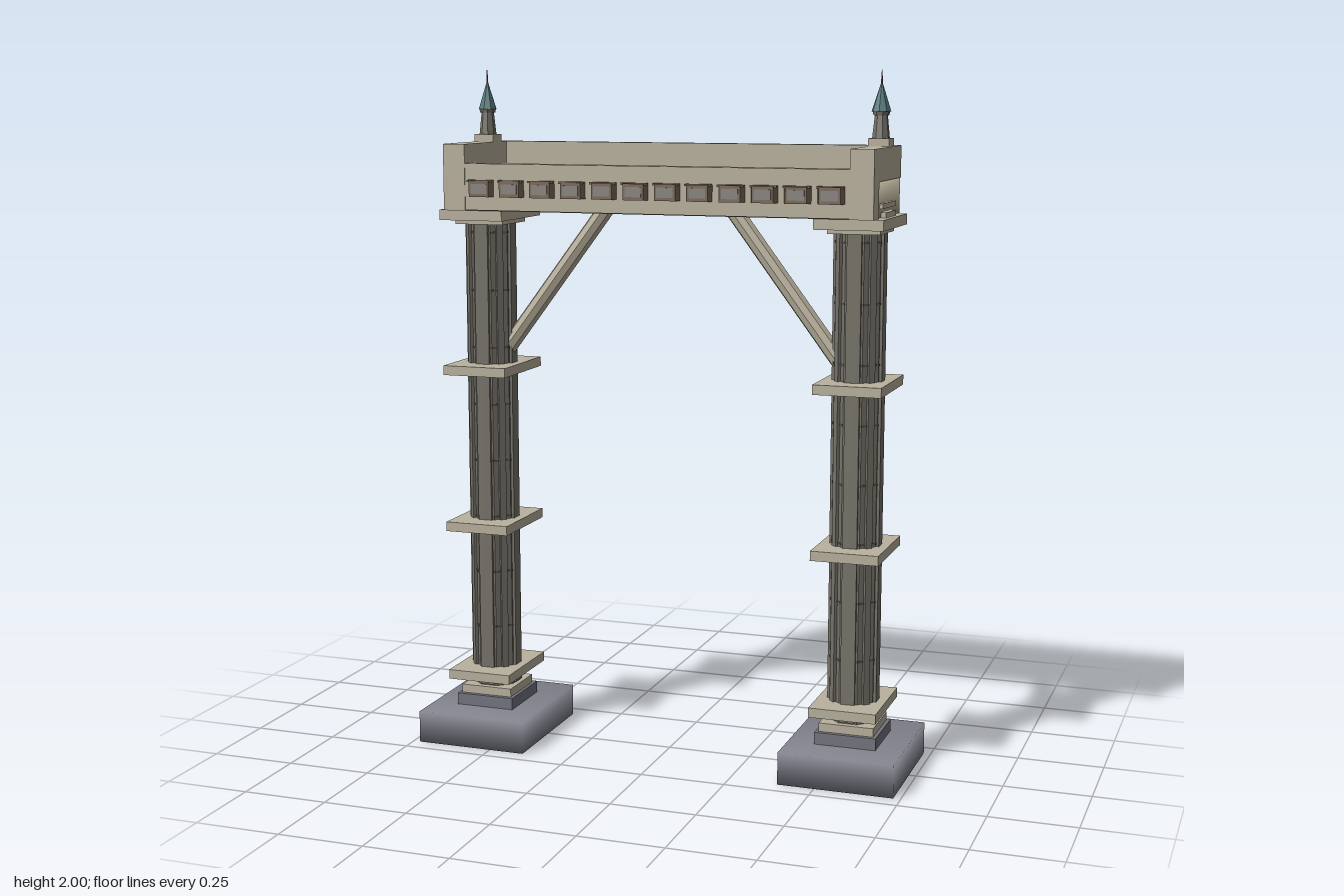
import * as THREE from 'three';
import { mergeVertices } from 'three/addons/utils/BufferGeometryUtils.js';

const mat = (color, flat = true) => new THREE.MeshStandardMaterial({ color, flatShading: flat });
const STONE = mat(0xbab29e), SHAFT = mat(0x77736a), JOINT = mat(0x57534b), PIPE = mat(0x4a3a2c);
const FRAME = mat(0x7d6a5b), PANE = mat(0x8a8580), ROOF = mat(0x527476), SPIKE = mat(0x8a4a42);
const PLINTH = mat(0x74757f), BASE = mat(0x84858f, false), SOFT_STONE = mat(0xaaa28e, false), WATER = mat(0x9ccad0, false);

function add(parent, name, geometry, material, x = 0, y = 0, z = 0) {
  const mesh = new THREE.Mesh(geometry, material);
  mesh.name = name;
  mesh.position.set(x, y, z);
  parent.add(mesh);
  return mesh;
}

// Box given by its extents on each axis
function slab(parent, name, material, [x0, x1], [y0, y1], [z0, z1], soft = false) {
  let g = new THREE.BoxGeometry(x1 - x0, y1 - y0, z1 - z0);
  if (soft) {
    g.deleteAttribute('normal');
    g.deleteAttribute('uv');
    g = mergeVertices(g);
    g.computeVertexNormals();
  }
  return add(parent, name, g, material, (x0 + x1) / 2, (y0 + y1) / 2, (z0 + z1) / 2);
}

const octagon = (r0, r1, h) => new THREE.CylinderGeometry(r0, r1, h, 8).rotateY(Math.PI / 8);

// Tower, built around x = 0; side is +1 or -1
function makeTower(side) {
  const tower = new THREE.Group();
  tower.name = side > 0 ? 'leftTower' : 'rightTower';
  slab(tower, 'footing', BASE, [-0.168, 0.168], [0, 0.095], [-0.2, 0.2], true);
  slab(tower, 'plinth', PLINTH, [-0.09, 0.09], [0.095, 0.13], [-0.095, 0.095]);
  slab(tower, 'plinthStep', STONE, [-0.08, 0.08], [0.13, 0.155], [-0.082, 0.082]);

  // Octagonal shaft with raised strips on its faces and corners
  add(tower, 'shaft', octagon(0.069, 0.069, 1.43), SHAFT, 0, 0.865, 0);
  for (let i = 0; i < 4; i++) {
    const a = i * Math.PI / 2;
    const strip = add(tower, 'faceStrip', new THREE.BoxGeometry(0.042, 1.41, 0.016), SHAFT, Math.sin(a) * 0.064, 0.865, Math.cos(a) * 0.064);
    strip.rotation.y = a;
    const b = a + Math.PI / 4;
    const rib = add(tower, 'cornerRib', new THREE.BoxGeometry(0.02, 1.41, 0.014), SHAFT, Math.sin(b) * 0.066, 0.865, Math.cos(b) * 0.066);
    rib.rotation.y = b;
  }
  // Course joints
  for (let y = 0.34; y < 1.55; y += 0.17) add(tower, 'courseJoint', octagon(0.071, 0.071, 0.006), JOINT, 0, y, 0);

  // Square collars and capital
  for (const y of [0.2, 0.657, 1.128])
    slab(tower, 'collar', STONE, [-0.098, 0.098], [y - 0.014, y + 0.014], [-0.135, 0.135]);
  slab(tower, 'capital', STONE, [-0.098, 0.098], [1.57, 1.6], [-0.142, 0.142]);
  slab(tower, 'underCapital', STONE, [-0.075, 0.075], [1.555, 1.57], [-0.082, 0.082]);
  slab(tower, 'bearing', STONE, [-0.085, 0.085], [1.6, 1.615], [-0.06, 0.06]);

  // Drain pipe behind the shaft
  add(tower, 'drainPipe', new THREE.CylinderGeometry(0.008, 0.008, 1.38, 8), PIPE, 0, 0.88, -0.094);
  for (let i = 0; i < 9; i++)
    add(tower, 'pipeCoupling', new THREE.CylinderGeometry(0.011, 0.011, 0.03, 8), PIPE, 0, 0.28 + i * 0.15, -0.094);
  tower.position.x = side * 0.561;
  return tower;
}

// Small pinnacle on the end of the trough
function makeFinial(side) {
  const f = new THREE.Group();
  f.name = 'finial';
  slab(f, 'finialBase', STONE, [-0.03, 0.03], [0, 0.022], [-0.03, 0.03]);
  add(f, 'finialNeck', octagon(0.018, 0.025, 0.065), SHAFT, 0, 0.054, 0);
  add(f, 'finialCollar', octagon(0.025, 0.022, 0.012), SHAFT, 0, 0.091, 0);
  add(f, 'finialRoof', new THREE.ConeGeometry(0.028, 0.085, 8), ROOF, 0, 0.138, 0);
  add(f, 'finialSpike', new THREE.CylinderGeometry(0.001, 0.003, 0.04, 6), SPIKE, 0, 0.19, 0);
  f.position.set(side * 0.597, 1.79, -0.07);
  return f;
}

// Window bay: tapers outwards from the wall
function makeBay(x) {
  const bay = new THREE.Group();
  bay.name = 'windowBay';
  const g = new THREE.BoxGeometry(0.078, 0.046, 0.022);
  const p = g.attributes.position;
  for (let i = 0; i < p.count; i++) if (p.getZ(i) > 0) p.setX(i, p.getX(i) * 0.78);
  add(bay, 'bayFrame', g, FRAME, 0, 0, 0.009);
  slab(bay, 'bayPane', PANE, [-0.024, 0.024], [-0.014, 0.014], [0.015, 0.0215]);
  slab(bay, 'bayLintel', FRAME, [-0.038, 0.038], [0.019, 0.025], [0, 0.016]);
  bay.position.set(x, 1.664, 0.158);
  return bay;
}

function makeTrough() {
  const t = new THREE.Group();
  t.name = 'trough';
  slab(t, 'troughFloor', SOFT_STONE, [-0.632, 0.632], [1.6, 1.7], [-0.163, 0.15], true);
  slab(t, 'frontWall', STONE, [-0.57, 0.57], [1.602, 1.735], [0.107, 0.158]);
  slab(t, 'backWall', STONE, [-0.62, 0.62], [1.7, 1.79], [-0.168, -0.137]);
  slab(t, 'water', WATER, [-0.57, 0.57], [1.69, 1.715], [-0.138, 0.108], true);
  for (const s of [-1, 1]) {
    const range = (a, b) => (s > 0 ? [a, b] : [-b, -a]);
    slab(t, 'endWall', STONE, range(0.568, 0.635), [1.7, 1.79], [-0.16, 0.16]);
    slab(t, 'endPier', STONE, range(0.568, 0.635), [1.6, 1.7], [0.1, 0.16]);
    // Ledge on the outside of each end
    slab(t, 'endLedge', STONE, range(0.62, 0.641), [1.626, 1.64], [-0.078, 0.078]);
    t.add(makeFinial(s));
  }
  for (let i = 0; i < 12; i++) t.add(makeBay(-0.517 + i * 0.094));
  return t;
}

// Diagonal strut between two points
function makeBrace(side) {
  const a = new THREE.Vector3(side * 0.525, 1.165, 0), b = new THREE.Vector3(side * 0.19, 1.61, 0);
  const d = b.clone().sub(a);
  const brace = new THREE.Mesh(new THREE.CylinderGeometry(0.025, 0.025, d.length(), 8), STONE);
  brace.name = 'brace';
  brace.position.copy(a).addScaledVector(d, 0.5);
  brace.quaternion.setFromUnitVectors(new THREE.Vector3(0, 1, 0), d.normalize());
  return brace;
}

export function createModel() {
  const model = new THREE.Group();
  model.name = 'waterBridge';
  for (const s of [-1, 1]) model.add(makeTower(s), makeBrace(s));
  model.add(makeTrough());
  return model;
}
